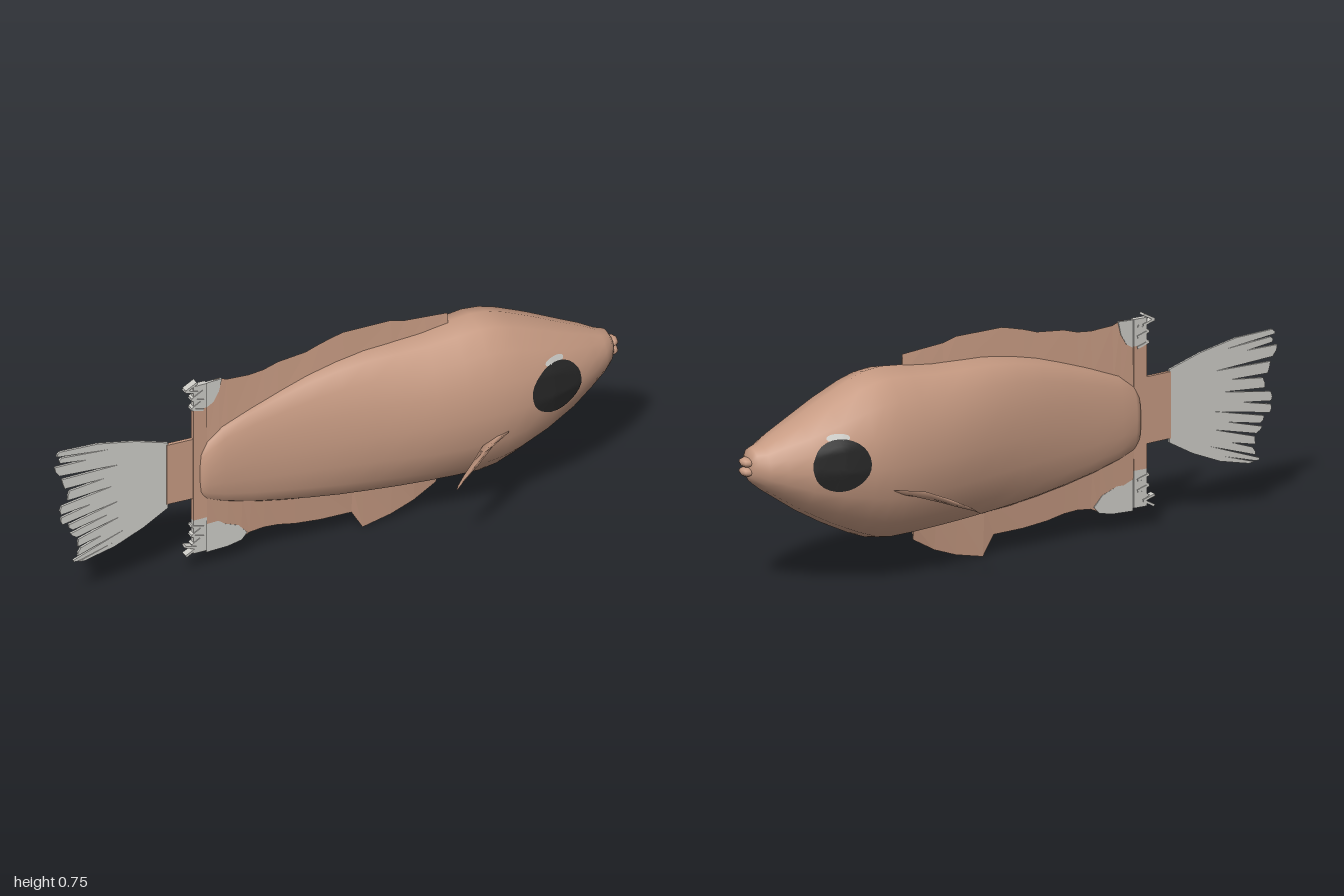
import * as THREE from 'three';

const mat = (name, color) => {
  const m = new THREE.MeshStandardMaterial({ color, side: THREE.DoubleSide });
  m.name = name;
  return m;
};

// Body stations: x, top y, bottom y, half width
const STATIONS = [
  [-0.482, 0.40, 0.34, 0.004], [-0.475, 0.45, 0.29, 0.02], [-0.455, 0.485, 0.265, 0.031],
  [-0.4, 0.53, 0.24, 0.037], [-0.3, 0.57, 0.21, 0.046], [-0.2, 0.605, 0.188, 0.06],
  [-0.1, 0.637, 0.17, 0.077], [0, 0.66, 0.156, 0.096], [0.1, 0.674, 0.147, 0.116],
  [0.2, 0.678, 0.14, 0.137], [0.3, 0.682, 0.135, 0.156], [0.4, 0.694, 0.131, 0.17],
  [0.48, 0.702, 0.13, 0.178], [0.54, 0.695, 0.141, 0.18], [0.6, 0.675, 0.165, 0.178],
  [0.7, 0.63, 0.215, 0.164], [0.8, 0.58, 0.274, 0.137], [0.88, 0.543, 0.33, 0.102],
  [0.93, 0.515, 0.365, 0.075], [0.96, 0.507, 0.39, 0.052], [0.973, 0.485, 0.41, 0.033],
  [0.977, 0.45, 0.44, 0.005],
];
const SIDES = 16;

// Closed skin through rings of equal point count
function loft(rings) {
  const n = rings[0].length, idx = [];
  for (let i = 0; i < rings.length - 1; i++) {
    for (let j = 0; j < n; j++) {
      const k = (j + 1) % n, a = i * n + j, b = a + n, c = i * n + k, d = c + n;
      idx.push(a, c, b, b, c, d);
    }
  }
  const g = new THREE.BufferGeometry();
  g.setAttribute('position', new THREE.Float32BufferAttribute(rings.flat(2), 3));
  g.setIndex(idx);
  g.computeVertexNormals();
  return g;
}

// Body values at any x, and side depth of the faceted section at (x, y)
function bodyAt(x) {
  let i = 0;
  while (i < STATIONS.length - 2 && STATIONS[i + 1][0] < x) i++;
  const a = STATIONS[i], b = STATIONS[i + 1];
  const t = THREE.MathUtils.clamp((x - a[0]) / (b[0] - a[0]), 0, 1);
  return [1, 2, 3].map((k) => a[k] + (b[k] - a[k]) * t);
}
function bodyDepth(x, y) {
  const [top, bottom, w] = bodyAt(x);
  const v = THREE.MathUtils.clamp((2 * y - top - bottom) / (top - bottom), -1, 1);
  const step = (2 * Math.PI) / SIDES, j = Math.min(Math.floor(Math.acos(v) / step), SIDES / 2 - 1);
  const c0 = Math.cos(j * step), c1 = Math.cos((j + 1) * step), t = (c0 - v) / (c0 - c1);
  return w * (Math.sin(j * step) * (1 - t) + Math.sin((j + 1) * step) * t);
}

// Elliptical patch hugging the side of the body
function sidePatch(cx, cy, rx, ry, side, lift) {
  const rows = 8, seg = 28, rings = [];
  for (let i = 0; i <= rows; i++) {
    const ring = [];
    for (let j = 0; j < seg; j++) {
      const a = (j / seg) * Math.PI * 2, r = i / rows;
      const x = cx + rx * r * Math.cos(a), y = cy + ry * r * Math.sin(a);
      ring.push([x, y, side * (bodyDepth(x, y) + lift)]);
    }
    rings.push(side > 0 ? ring.reverse() : ring);
  }
  return loft(rings);
}

// Median fin: wedge from a thick root inside the body to a sharp edge
function wedgeFin(edge, rootAt, t) {
  const rings = edge.map(([x, y]) => [[x, rootAt(x), -t], [x, y, 0], [x, rootAt(x), t]]);
  const g = loft(rings).toNonIndexed();
  g.computeVertexNormals();
  return g;
}

// Flat outline plate centred on z = 0
function plate(points, depth) {
  const shape = new THREE.Shape(points.map(([x, y]) => new THREE.Vector2(x, y)));
  return new THREE.ExtrudeGeometry(shape, { depth, bevelEnabled: false }).translate(0, 0, -depth / 2);
}

export function createModel() {
  const skin = mat('tan skin', 0xc69a82);
  const pale = mat('pale grey', 0xcccbc6);
  const dark = mat('eye black', 0x262626);
  const fish = new THREE.Group();
  fish.name = 'fish';
  const add = (name, geometry, material) => {
    const m = new THREE.Mesh(geometry, material);
    m.name = name;
    fish.add(m);
    return m;
  };

  // Body
  add('body', loft(STATIONS.map(([x, top, bottom, w]) =>
    Array.from({ length: SIDES }, (_, j) => {
      const a = (j / SIDES) * Math.PI * 2;
      return [x, (top + bottom) / 2 + ((top - bottom) / 2) * Math.cos(a), w * Math.sin(a)];
    }))), skin);

  // Lips
  for (const [name, y] of [['upperLip', 0.463], ['lowerLip', 0.432]]) {
    add(name, new THREE.SphereGeometry(1, 8, 6).scale(0.022, 0.016, 0.03), skin).position.set(0.978, y, 0);
  }

  // Dorsal and anal fins
  add('dorsalFin', wedgeFin([
    [-0.455, 0.7], [-0.41, 0.707], [-0.38, 0.695], [-0.3, 0.69], [-0.25, 0.695], [-0.2, 0.71], [-0.1, 0.72],
    [-0.05, 0.737], [0, 0.75], [0.03, 0.757], [0.2, 0.755], [0.25, 0.741], [0.32, 0.735], [0.4, 0.728], [0.4, 0.67],
  ], (x) => bodyAt(x)[0] - 0.03, 0.008), skin);
  add('analFin', wedgeFin([
    [-0.455, 0.068], [-0.38, 0.07], [-0.33, 0.08], [-0.3, 0.095], [-0.25, 0.1], [-0.2, 0.096], [-0.14, 0.083],
    [-0.05, 0.073], [0.06, 0.07], [0.1, 0.003], [0.2, 0.025], [0.28, 0.055], [0.36, 0.102], [0.36, 0.15],
  ], (x) => bodyAt(x)[1] + 0.02, 0.01), skin);

  // Pale rear corners of both fins
  add('dorsalFinTip', plate([[-0.455, 0.61], [-0.43, 0.625], [-0.41, 0.66], [-0.4, 0.705], [-0.455, 0.703]], 0.009), pale);
  add('analFinTip', plate([
    [-0.455, 0.065], [-0.38, 0.067], [-0.33, 0.077], [-0.31, 0.1], [-0.34, 0.135], [-0.39, 0.155], [-0.42, 0.18], [-0.455, 0.185],
  ], 0.0095), pale);

  // Upright strip behind the fins, with ragged pale ends
  const strip = (name, y0, y1, material) =>
    add(name, new THREE.BoxGeometry(0.048, y1 - y0, 0.018).translate(-0.479, (y0 + y1) / 2, 0), material);
  strip('rearStrip', 0.2, 0.615, skin);
  strip('rearStripTop', 0.615, 0.705, pale);
  strip('rearStripBottom', 0.075, 0.2, pale);
  for (let i = 0; i < 6; i++) {
    for (const [y, s] of [[0.6, 1], [0.19, -1]]) {
      const sliver = add('raggedEdge', new THREE.BoxGeometry(0.045, 0.008, 0.024), pale);
      sliver.position.set(-0.485 - (i > 3 ? 0.025 : 0.004), y + s * (0.016 + i * 0.018), 0);
      sliver.rotation.z = i % 2 ? 0.5 : -0.3;
    }
  }

  // Tail stalk
  add('tailStalk', plate([[-0.595, 0.285], [-0.455, 0.28], [-0.455, 0.51], [-0.5, 0.505], [-0.595, 0.508]], 0.012), skin);

  // Tail fan, slit into fingers along rays from stalk to trailing edge
  const tipCurve = new THREE.CatmullRomCurve3(
    [[-0.97, 0.59], [-0.992, 0.545], [-0.955, 0.45], [-0.968, 0.36], [-0.955, 0.29], [-0.905, 0.235], [-0.925, 0.165], [-0.88, 0.152]]
      .map(([x, y]) => new THREE.Vector3(x, y, 0)));
  const ray = (t, f) => {
    const tip = tipCurve.getPoint(t), bow = Math.sin(f * Math.PI) * 0.018 * (1 - 2 * t);
    return [-0.59 + (tip.x + 0.59) * f, (0.515 - 0.245 * t) * (1 - f) + tip.y * f + bow];
  };
  const outline = [ray(0, 0), ray(0, 0.3), ray(0, 0.65)];
  const fingers = 13;
  for (let i = 0; i < fingers; i++) {
    const a = i / fingers, b = (i + 1) / fingers, reach = 1 - 0.05 * (i % 3 === 1);
    outline.push(ray(a + 0.011, reach), ray((a + b) / 2, reach + 0.01), ray(b - 0.011, reach));
    if (i < fingers - 1) outline.push(ray(b, [0.52, 0.72, 0.45, 0.62][i % 4]));
  }
  outline.push(ray(1, 0.65), ray(1, 0.3), ray(1, 0));
  add('tailFan', plate(outline, 0.008), pale);

  // Paired fins and eyes
  for (const side of [1, -1]) {
    const label = side > 0 ? 'left' : 'right';
    // Each row: leading edge point, trailing edge point
    const rows = [
      [[0.55, 0.338, 0.15], [0.47, 0.312, 0.145]], [[0.525, 0.345, 0.185], [0.43, 0.302, 0.175]],
      [[0.45, 0.34, 0.228], [0.385, 0.288, 0.212]], [[0.38, 0.313, 0.268], [0.335, 0.273, 0.25]],
      [[0.32, 0.283, 0.29], [0.302, 0.265, 0.28]], [[0.29, 0.26, 0.298], [0.288, 0.26, 0.297]],
    ];
    const rings = rows.map(([a, b], i) => {
      const t = 0.008 * (1 - i / 5);
      const mid = (dy) => [(a[0] + b[0]) / 2, (a[1] + b[1]) / 2 + dy, side * ((a[2] + b[2]) / 2 + dy * 0.6)];
      const ring = [[a[0], a[1], side * a[2]], mid(t), [b[0], b[1], side * b[2]], mid(-t)];
      return side > 0 ? ring.reverse() : ring;
    });
    add(label + 'PectoralFin', loft(rings), skin);
    add(label + 'Eye', sidePatch(0.713, 0.447, 0.096, 0.085, side, 0.003), dark);
    add(label + 'EyeGlint', sidePatch(0.715, 0.535, 0.037, 0.013, side, 0.0025), pale);
  }
  return fish;
}
